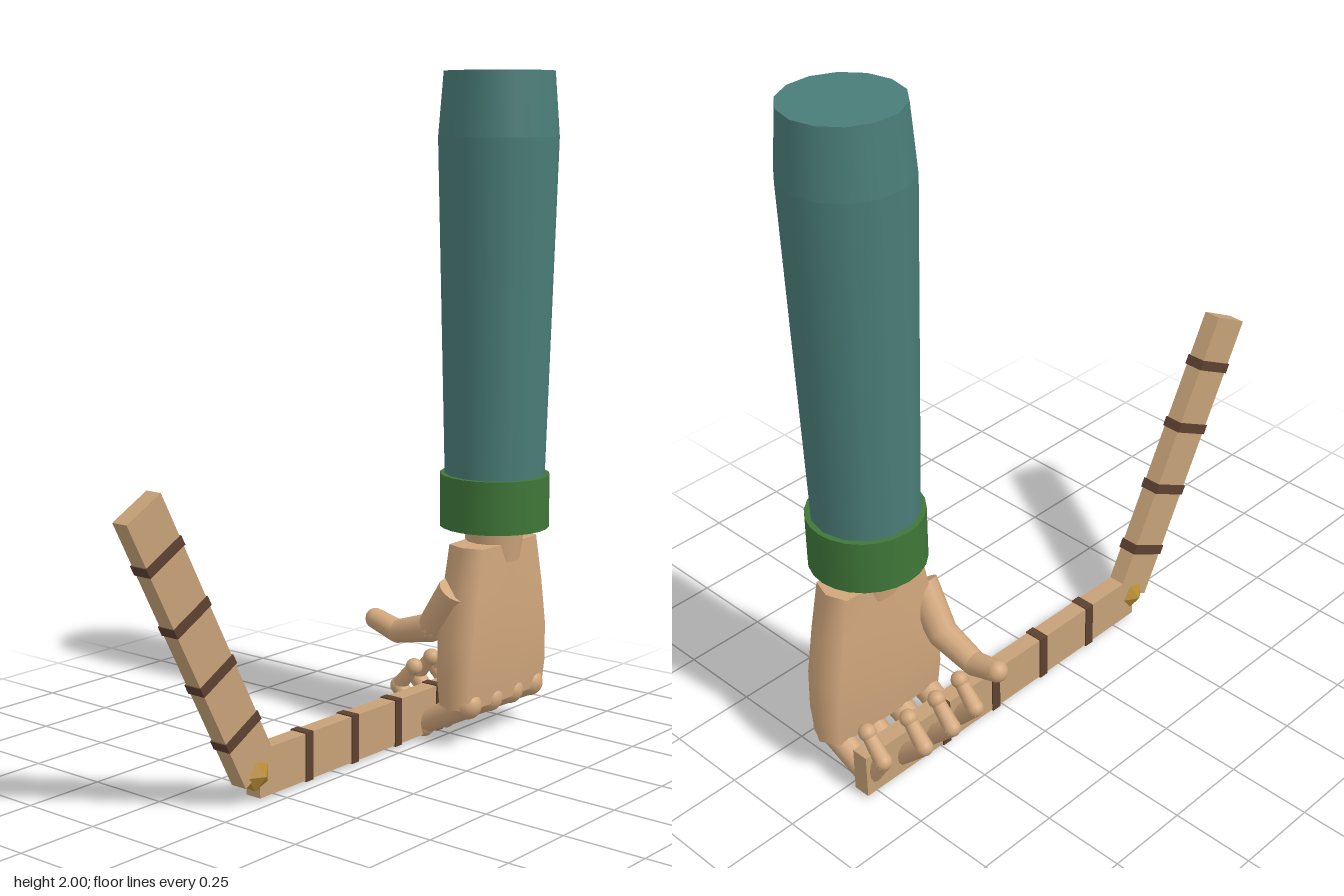
import * as THREE from 'three';

const mat = (name, color, extra = {}) => new THREE.MeshStandardMaterial({ name, color, ...extra });

export function createModel() {
  const model = new THREE.Group();
  model.name = 'armHoldingFoldedStick';
  const skin = mat('skin', 0xd0a67c);
  const wood = mat('wood', 0xc6a177);
  const strap = mat('darkStrap', 0x5c4030);
  const gold = mat('brass', 0xb48a32);
  const teal = mat('sleeveTeal', 0x4a7d78);
  const green = mat('cuffGreen', 0x3f7638);
  const ARM_X = 0.09, ARM_Z = -0.595;

  const add = (name, geo, material, parent = model, x = 0, y = 0, z = 0) => {
    const m = new THREE.Mesh(geo, material);
    m.name = name;
    m.position.set(x, y, z);
    parent.add(m);
    return m;
  };
  const V = (x, y, z) => new THREE.Vector3(x, y, z);

  // tapered limb between two points
  const limb = (name, parent, a, b, ra, rb) => {
    const d = b.clone().sub(a);
    const m = add(name, new THREE.CylinderGeometry(rb, ra, d.length(), 12), skin, parent);
    m.position.copy(a).addScaledVector(d, 0.5);
    m.quaternion.setFromUnitVectors(V(0, 1, 0), d.normalize());
  };
  const ball = (name, parent, p, r) =>
    add(name, new THREE.SphereGeometry(r, 14, 10), skin, parent, p.x, p.y, p.z);

  // sleeve: two tapered sections and end caps
  const section = (name, r1, r0, y0, y1, capped) =>
    add(name, new THREE.CylinderGeometry(r1, r0, y1 - y0, 14, 1, !capped), teal, model, ARM_X, (y0 + y1) / 2, ARM_Z);
  section('sleeve', 0.178, 0.15, 0.79, 1.81, false);
  section('sleeveTop', 0.163, 0.178, 1.81, 2, true);

  // cuff: closed on top, hollow underneath
  const corners = [[0, 0.78], [0.145, 0.78], [0.145, 0.65], [0.165, 0.65], [0.165, 0.81], [0, 0.81]];
  const cuff = new THREE.Group();
  cuff.name = 'cuff';
  cuff.position.set(ARM_X, 0, ARM_Z);
  model.add(cuff);
  for (let i = 0; i < corners.length - 1; i++) {
    const pts = [corners[i], corners[i + 1]].map(p => new THREE.Vector2(...p));
    add('cuffFace', new THREE.LatheGeometry(pts, 24), green, cuff);
  }

  // hand
  const hand = new THREE.Group();
  hand.name = 'hand';
  model.add(hand);
  add('wrist', new THREE.CylinderGeometry(0.108, 0.08, 0.24, 14), skin, hand, ARM_X, 0.67, ARM_Z);

  // palm: squarish cross-section, widening towards the knuckles
  const palmRows = [[0.12, 0.22, 0.062], [0.2, 0.225, 0.07], [0.32, 0.217, 0.075], [0.46, 0.19, 0.075], [0.605, 0.16, 0.07]];
  const SIDES = 8, pos = [], idx = [];
  const soft = v => Math.sign(v) * Math.pow(Math.abs(v) < 1e-6 ? 0 : Math.abs(v), 0.4);
  const ring = ([y, hz, hx]) => {
    for (let i = 0; i < SIDES; i++) {
      const a = i / SIDES * Math.PI * 2;
      pos.push(hx * soft(Math.sin(a)), y, hz * soft(Math.cos(a)));
    }
  };
  palmRows.forEach(ring);
  for (let r = 0; r < palmRows.length - 1; r++) {
    for (let i = 0; i < SIDES; i++) {
      const a = r * SIDES + i, b = r * SIDES + (i + 1) % SIDES;
      idx.push(a, b, b + SIDES, a, b + SIDES, a + SIDES);
    }
  }
  // separate end rings keep the cap edges sharp
  const low = pos.length / 3;
  ring(palmRows[0]);
  ring(palmRows[palmRows.length - 1]);
  for (let i = 1; i < SIDES - 1; i++) {
    idx.push(low, low + i + 1, low + i);
    idx.push(low + SIDES, low + SIDES + i, low + SIDES + i + 1);
  }
  const palm = new THREE.BufferGeometry();
  palm.setAttribute('position', new THREE.Float32BufferAttribute(pos, 3));
  palm.setIndex(idx);
  palm.computeVertexNormals();
  add('palm', palm, skin, hand, 0.09, 0, -0.592);

  // four fingers curled under and around the stick; reach shortens the outer ones
  const fingers = [[-0.43, 0.85], [-0.537, 1], [-0.645, 1], [-0.752, 0.5]];
  fingers.forEach(([z, reach]) => {
    const f = new THREE.Group();
    f.name = 'finger';
    hand.add(f);
    const knuckle = V(0.118, 0.13, z);
    const mid = V(-0.045, 0.042, z);
    const bend = V(-0.055 - 0.105 * reach, 0.115 + 0.03 * reach, z);
    const tip = V(bend.x + 0.06, bend.y + 0.07, z);
    ball('knuckle', f, knuckle, 0.044);
    limb('fingerBase', f, knuckle, mid, 0.041, 0.034);
    ball('fingerJoint', f, V(mid.x, 0.035, z), 0.035);
    limb('fingerMiddle', f, mid, bend, 0.032, 0.026);
    ball('fingerJoint', f, bend, 0.026);
    limb('fingerEnd', f, bend, tip, 0.025, 0.02);
    ball('fingerTip', f, tip, 0.026);
  });

  // thumb
  const thumb = new THREE.Group();
  thumb.name = 'thumb';
  hand.add(thumb);
  const t = [V(0.07, 0.475, -0.425), V(-0.02, 0.345, -0.43), V(-0.15, 0.31, -0.433), V(-0.24, 0.335, -0.435)];
  const tr = [0.05, 0.044, 0.036, 0.032];
  for (let i = 0; i < 3; i++) {
    limb('thumbSegment', thumb, t[i], t[i + 1], tr[i], tr[i + 1]);
    ball('thumbJoint', thumb, t[i + 1], tr[i + 1]);
  }

  // stick: two hinged arms, each wrapped with four straps
  const stickArm = (name, y, z, angle, length, first) => {
    const g = new THREE.Group();
    g.name = name;
    g.position.set(-0.056, y, z);
    g.rotation.x = angle;
    model.add(g);
    add('stickBar', new THREE.BoxGeometry(0.052, length, 0.138), wood, g, 0, length / 2, 0);
    for (let i = 0; i < 4; i++) {
      add('strap', new THREE.BoxGeometry(0.06, 0.03, 0.144), strap, g, 0, first + i * 0.203, 0);
    }
  };
  stickArm('heldArm', 0.081, 0.328, -Math.PI / 2, 1.12, 0.205);
  stickArm('raisedArm', 0.0875, 0.325, 0.49, 0.913, 0.15);

  // faceted hinge stud, one point facing sideways
  const stud = new THREE.IcosahedronGeometry(0.052, 0);
  stud.rotateZ(-Math.atan2((1 + Math.sqrt(5)) / 2, 1));
  stud.rotateX(Math.PI / 2);
  add('hingeStud', stud, gold, model, -0.056, 0.08, 0.33);

  return model;
}
